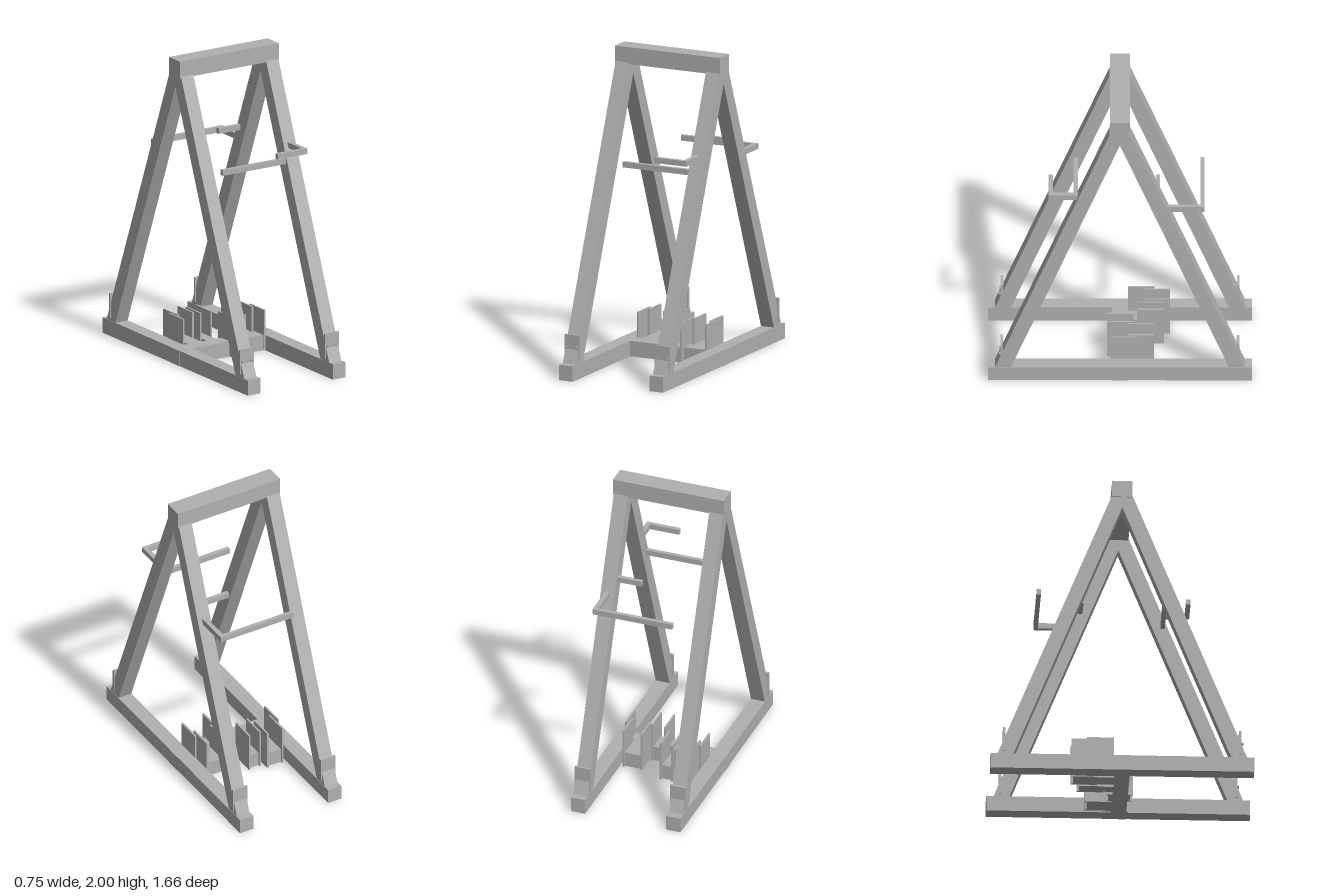
import * as THREE from 'three';

export function createModel() {
  const model = new THREE.Group();
  const steel = new THREE.MeshStandardMaterial({ color: 0xb0b0b0 });
  steel.name = 'grey steel';

  // Box given by its extents on each axis
  function bar(name, x0, x1, y0, y1, z0, z1) {
    const mesh = new THREE.Mesh(new THREE.BoxGeometry(x1 - x0, y1 - y0, z1 - z0), steel);
    mesh.position.set((x0 + x1) / 2, (y0 + y1) / 2, (z0 + z1) / 2);
    mesh.name = name;
    model.add(mesh);
    return mesh;
  }

  // A-shaped pair of legs, drawn in the z-y plane
  const legShape = new THREE.Shape([
    [-0.785, 0.1], [-0.685, 0.1], [0, 1.82], [0.685, 0.1],
    [0.785, 0.1], [0.065, 1.9], [-0.065, 1.9],
  ].map(([z, y]) => new THREE.Vector2(z, y)));
  const legGeometry = new THREE.ExtrudeGeometry(legShape, { depth: 0.092, bevelEnabled: false });
  legGeometry.translate(0, 0, -0.046);
  legGeometry.rotateY(-Math.PI / 2);

  for (const side of [-1, 1]) {
    const x = side * 0.32;
    const legs = new THREE.Mesh(legGeometry, steel);
    legs.name = 'legs';
    legs.position.x = x;
    model.add(legs);
    bar('baseRail', x - 0.048, x + 0.048, 0, 0.1, -0.83, 0.83);

    // Upright foot plates
    for (const end of [-1, 1]) {
      const z = end * 0.742;
      bar('footPlate', x - 0.053, x + 0.053, 0.12, 0.28, z - 0.008, z + 0.008);
    }
    // Bolts on the front plates
    for (const dx of [-0.033, 0.033]) {
      const bolt = new THREE.Mesh(new THREE.CylinderGeometry(0.01, 0.01, 0.016, 8), steel);
      bolt.name = 'bolt';
      bolt.rotation.x = Math.PI / 2;
      bolt.position.set(x + dx, 0.2, 0.753);
      model.add(bolt);
    }
  }

  bar('topBeam', -0.372, 0.372, 1.89, 2, -0.064, 0.064);
  bar('crossBeam', -0.371, 0.371, 0, 0.1, -0.046, 0.05);

  // Staggered slots: a block between two upright plates, x range and back end
  const slots = [[-0.25, -0.13, -0.315], [-0.11, -0.02, -0.275], [0.01, 0.11, -0.085], [0.12, 0.252, -0.215]];
  for (const [x0, x1, back] of slots) {
    bar('slotBlock', x0 + 0.01, x1 - 0.01, 0.002, 0.099, back + 0.015, Math.max(0.045, back + 0.15));
    for (const x of [x0, x1 - 0.012]) {
      bar('slotPlate', x, x + 0.012, 0.002, 0.265, back, back + 0.167);
    }
  }
  // Single plates against the rails
  bar('railPlate', -0.275, -0.263, 0.002, 0.265, -0.217, -0.05);
  bar('railPlate', 0.263, 0.275, 0.002, 0.265, -0.108, 0.059);

  // Front handle: short outer bar, long inner bar
  bar('frontHandleBar', 0.11, 0.335, 1.375, 1.41, 0.42, 0.448);
  bar('frontHandleArm', 0.305, 0.335, 1.375, 1.41, 0.265, 0.42);
  bar('frontLongBar', -0.2, 0.3, 1.28, 1.316, 0.265, 0.292);

  // Back handle: long outer bar, short inner bar
  bar('backHandleBar', -0.2, 0.335, 1.284, 1.32, -0.532, -0.505);
  bar('backHandleArm', 0.305, 0.335, 1.284, 1.32, -0.505, -0.29);
  bar('backShortBar', 0.11, 0.3, 1.375, 1.41, -0.252, -0.225);

  return model;
}
